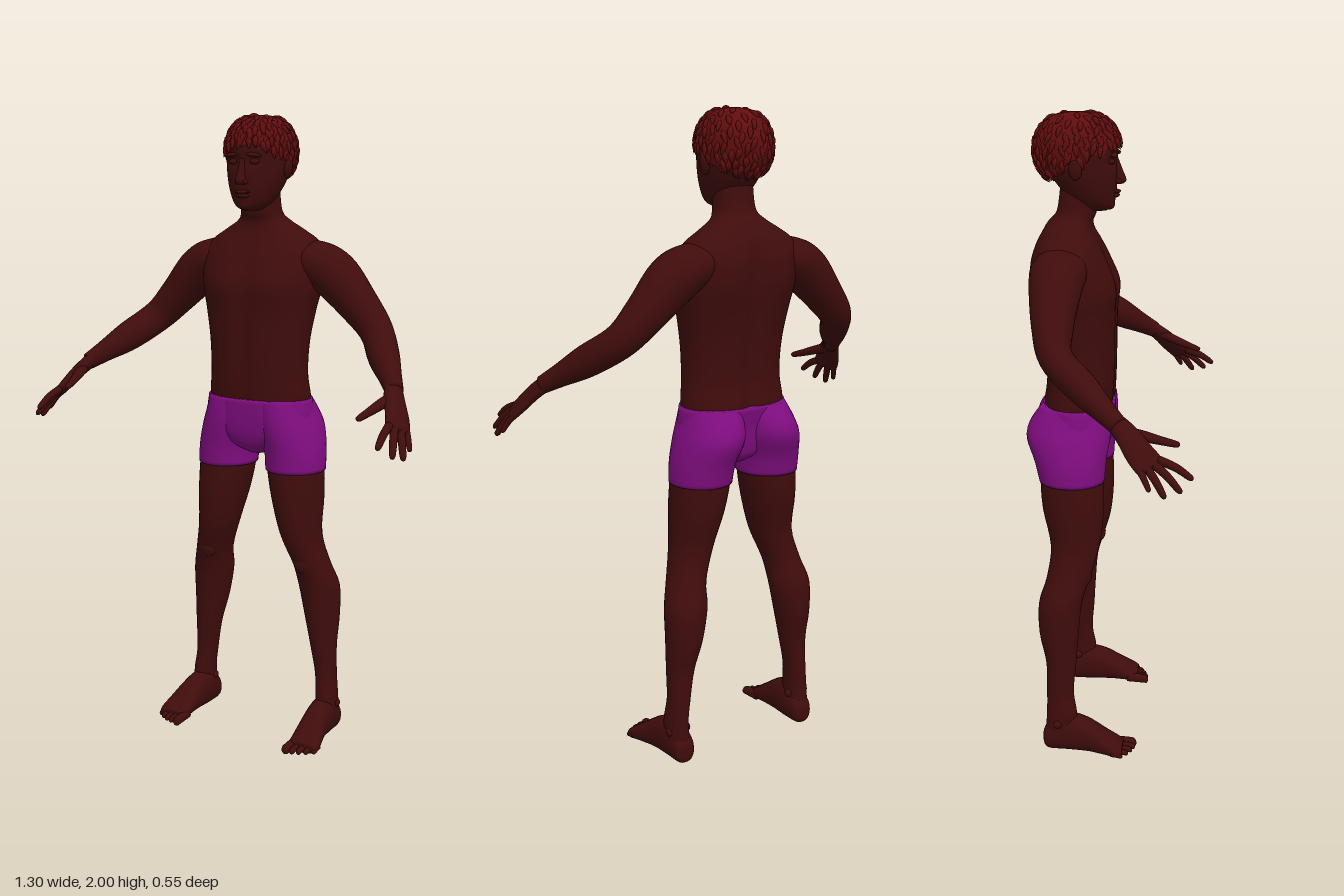
import * as THREE from 'three';

const V = (x, y, z) => new THREE.Vector3(x, y, z);
const X = V(1, 0, 0), Y = V(0, 1, 0), Z = V(0, 0, 1);
const bump = (d, w) => Math.exp(-((d / w) ** 2));

// Seeded random numbers for the hair
let seed = 7;
const rand = () => (seed = (seed * 16807) % 2147483647) / 2147483647;

// Smooth spline through rows of [x, y, z, radiusA, radiusB]
function refine(rows, steps) {
  const out = [];
  for (let i = 0; i < rows.length - 1; i++) {
    const [a, b, c, d] = [-1, 0, 1, 2].map(k => rows[THREE.MathUtils.clamp(i + k, 0, rows.length - 1)]);
    for (let s = 0; s < steps; s++) {
      const t = s / steps;
      out.push(b.map((v, k) => v + 0.5 * t * (c[k] - a[k] + t * (2 * a[k] - 5 * v + 4 * c[k] - d[k]
        + t * (3 * (v - c[k]) + d[k] - a[k])))));
    }
  }
  out.push(rows[rows.length - 1]);
  return out;
}

// Skin through elliptical sections; radiusA lies along `side`. A fixed axis keeps all sections parallel.
function loft(rows, { side = X, axis = null, n = 24, steps = 4, power = 2, sculpt = null } = {}) {
  const path = refine(rows, steps), m = path.length;
  const pos = [], index = [], centre = path.map(r => V(r[0], r[1], r[2]));
  const e = 2 / power, sp = v => Math.sign(v) * Math.abs(v) ** e;
  const add = p => { if (sculpt) sculpt(p); pos.push(p.x, p.y, p.z); };
  path.forEach((r, i) => {
    const T = axis || centre[Math.min(i + 1, m - 1)].clone().sub(centre[Math.max(i - 1, 0)]).normalize();
    const A = side.clone().addScaledVector(T, -side.dot(T)).normalize();
    const B = T.clone().cross(A);
    for (let j = 0; j < n; j++) {
      const t = j / n * Math.PI * 2;
      add(centre[i].clone().addScaledVector(A, r[3] * sp(Math.cos(t))).addScaledVector(B, r[4] * sp(Math.sin(t))));
    }
  });
  add(centre[0].clone());
  add(centre[m - 1].clone());
  for (let j = 0; j < n; j++) {
    const k = (j + 1) % n;
    for (let i = 0; i < m - 1; i++) {
      const a = i * n + j, b = i * n + k;
      index.push(a, b, b + n, a, b + n, a + n);
    }
    index.push(m * n, k, j, m * n + 1, (m - 1) * n + j, (m - 1) * n + k);
  }
  const g = new THREE.BufferGeometry();
  g.setAttribute('position', new THREE.Float32BufferAttribute(pos, 3));
  g.setIndex(index);
  g.computeVertexNormals();
  return g;
}

export function createModel() {
  const skin = new THREE.MeshStandardMaterial({ color: 0x400c0c });
  const hair = new THREE.MeshStandardMaterial({ color: 0x600d0d, side: THREE.DoubleSide });
  const cloth = new THREE.MeshStandardMaterial({ color: 0x800d80 });
  const model = new THREE.Group();
  model.name = 'standingMan';
  const put = (name, geometry, material = skin) => {
    const mesh = new THREE.Mesh(geometry, material);
    mesh.name = name;
    model.add(mesh);
    return mesh;
  };
  const blob = (name, p, r, tilt = 0) => {
    const mesh = put(name, new THREE.SphereGeometry(1, 16, 12));
    mesh.position.set(...p);
    mesh.scale.set(...r);
    mesh.rotation.z = tilt;
  };

  // Torso and neck, with chest muscles, breastbone line and spine groove
  put('torso', loft([
    [0, 1.07, -0.12, 0.165, 0.1], [0, 1.12, -0.12, 0.172, 0.108], [0, 1.2, -0.113, 0.164, 0.106],
    [0, 1.3, -0.115, 0.168, 0.11], [0, 1.4, -0.122, 0.185, 0.117], [0, 1.48, -0.13, 0.203, 0.12],
    [0, 1.56, -0.143, 0.205, 0.112], [0, 1.61, -0.15, 0.185, 0.095], [0, 1.645, -0.15, 0.135, 0.078],
    [0, 1.675, -0.143, 0.085, 0.067], [0, 1.705, -0.125, 0.064, 0.06], [0, 1.78, -0.115, 0.06, 0.058],
  ], {
    axis: Y, n: 56, steps: 6, power: 2.25, sculpt: p => {
      const trunk = THREE.MathUtils.smoothstep(1.66 - p.y, 0, 0.1);
      if (p.z > -0.1) {
        p.z += trunk * (0.014 * bump(Math.abs(p.x) - 0.08, 0.07) * bump(p.y - 1.48, 0.06) - 0.007 * bump(p.x, 0.018));
      } else if (p.z < -0.16) {
        p.z += trunk * (0.016 * bump(p.x, 0.025) - 0.012 * bump(Math.abs(p.x) - 0.1, 0.06) * bump(p.y - 1.5, 0.08));
      }
    },
  }));

  // Head and face
  put('head', loft([
    [0, 1.708, -0.062, 0.025, 0.03], [0, 1.72, -0.066, 0.046, 0.052], [0, 1.745, -0.078, 0.066, 0.07],
    [0, 1.79, -0.095, 0.084, 0.092], [0, 1.84, -0.108, 0.094, 0.106], [0, 1.9, -0.115, 0.096, 0.115],
    [0, 1.95, -0.115, 0.083, 0.1], [0, 1.98, -0.115, 0.045, 0.055],
  ], {
    axis: Y, n: 48, steps: 6, power: 2.2, sculpt: p => {
      if (p.z > -0.05) p.z -= 0.012 * bump(Math.abs(p.x) - 0.038, 0.02) * bump(p.y - 1.856, 0.016);
    },
  }));
  put('nose', loft([
    [0, 1.868, -0.008, 0.008, 0.006], [0, 1.83, 0.001, 0.011, 0.012], [0, 1.798, 0.007, 0.016, 0.018],
    [0, 1.787, 0.003, 0.012, 0.012],
  ].reverse(), { axis: Y, n: 16 }));
  blob('upperLip', [0, 1.764, -0.004], [0.026, 0.006, 0.012]);
  blob('lowerLip', [0, 1.753, -0.007], [0.023, 0.007, 0.012]);
  blob('chin', [0, 1.727, -0.027], [0.026, 0.018, 0.018]);
  for (const s of [1, -1]) {
    blob('nostril', [s * 0.013, 1.795, 0.002], [0.009, 0.008, 0.011]);
    blob('brow', [s * 0.038, 1.875, -0.007], [0.027, 0.007, 0.011], s * -0.12);
    blob('eye', [s * 0.036, 1.855, -0.017], [0.016, 0.009, 0.012]);
    blob('ear', [s * 0.099, 1.835, -0.115], [0.01, 0.03, 0.02], s * -0.15);
  }

  // Hair: a cap with a ragged hairline, covered by short locks running out from the crown
  const limit = phi => 2.0 - 0.6 * Math.cos(phi);
  const scalp = (phi, theta, k = 1) => {
    const r = k * Math.max(Math.sin(theta), 0) ** 0.75;
    return V(0.105 * r * Math.sin(phi), 1.885 + 0.11 * k * Math.cos(theta), -0.122 + 0.13 * r * Math.cos(phi));
  };
  const cap = new THREE.SphereGeometry(1, 64, 24), cp = cap.attributes.position, uv = cap.attributes.uv;
  for (let i = 0; i < cp.count; i++) {
    const phi = uv.getX(i) * Math.PI * 2, row = 1 - uv.getY(i);
    const rag = 0.06 * Math.sin(phi * 13) + 0.04 * Math.sin(phi * 29);
    const ridge = 1 + 0.015 * Math.sin(phi * 18 + row * 9) * Math.sin(row * Math.PI);
    cp.setXYZ(i, ...scalp(phi, row * (limit(phi) + rag), ridge).toArray());
  }
  // The sphere's u runs the other way round, so turn the faces over if needed
  const ci = cap.index.array, c = k => V().fromBufferAttribute(cp, ci[k]);
  const mid = Math.floor(ci.length / 6) * 3;
  const facing = c(mid + 1).sub(c(mid)).cross(c(mid + 2).sub(c(mid))).dot(c(mid).sub(V(0, 1.885, -0.122)));
  if (facing < 0) for (let k = 0; k < ci.length; k += 3) [ci[k], ci[k + 1]] = [ci[k + 1], ci[k]];
  cap.computeVertexNormals();
  put('hairCap', cap, hair);
  for (let i = 0; i < 150; i++) {
    const phi = i * 2.39996, start = limit(phi) * Math.sqrt((i + 1) / 150) * 0.86;
    const bend = (rand() - 0.5) * 0.5, lift = 1.02 + rand() * 0.035;
    const rows = [[0, 1, 0.003], [0.12, 1.02, 0.009], [0.25, 1.02, 0.007], [0.36, lift, 0.001]].map(([d, k, r]) =>
      [...scalp(phi + bend * d * 2, Math.min(start + d, limit(phi) + 0.12), k).toArray(), r, r * 0.7]);
    const across = V(Math.cos(phi), 0.01, -Math.sin(phi));
    put('hairLock', loft(rows, { side: across, n: 6, steps: 2 }), hair);
  }

  // Shorts: front panel between the legs
  put('shortsFront', loft([
    [0, 0.935, -0.12, 0.03, 0.04], [0, 0.96, -0.118, 0.08, 0.08], [0, 1.0, -0.115, 0.15, 0.096],
    [0, 1.05, -0.115, 0.183, 0.103], [0, 1.12, -0.12, 0.177, 0.112],
  ], { axis: Y, n: 48, power: 2.25 }), cloth);

  for (const s of [1, -1]) {
    const flip = rows => rows.map(([x, ...rest]) => [s * x, ...rest]);
    const tag = s > 0 ? 'left' : 'right';

    // Shorts leg and buttock
    put(tag + 'ShortsLeg', loft(flip([
      [0.126, 0.888, -0.13, 0.096, 0.102], [0.122, 0.95, -0.135, 0.097, 0.112], [0.105, 1.02, -0.143, 0.099, 0.13],
      [0.094, 1.07, -0.137, 0.092, 0.126], [0.085, 1.118, -0.122, 0.085, 0.108],
    ]), { axis: Y, n: 36 }), cloth);

    // Leg from ankle to thigh
    put(tag + 'Leg', loft(flip([
      [0.235, 0.04, -0.165, 0.038, 0.046], [0.238, 0.12, -0.155, 0.034, 0.049], [0.231, 0.2, -0.16, 0.034, 0.043],
      [0.222, 0.3, -0.157, 0.043, 0.048], [0.212, 0.4, -0.164, 0.057, 0.062], [0.202, 0.5, -0.16, 0.067, 0.068],
      [0.185, 0.58, -0.137, 0.06, 0.068], [0.155, 0.68, -0.118, 0.066, 0.077], [0.138, 0.8, -0.125, 0.083, 0.096],
      [0.126, 0.9, -0.13, 0.091, 0.098], [0.12, 0.96, -0.13, 0.085, 0.09],
    ]), { axis: Y, n: 32 }));
    blob(tag + 'Kneecap', [s * 0.18, 0.59, -0.083], [0.03, 0.035, 0.02]);
    for (const d of [-0.032, 0.032]) blob(tag + 'Anklebone', [s * 0.237 + d, 0.1, -0.165], [0.011, 0.014, 0.014]);

    // Foot with a flat sole, and five toes
    const sole = p => { p.y = Math.max(p.y, 0); };
    put(tag + 'Foot', loft(flip([
      [0.235, 0.04, -0.215, 0.014, 0.02], [0.235, 0.043, -0.2, 0.034, 0.043], [0.235, 0.06, -0.14, 0.041, 0.062],
      [0.239, 0.055, -0.075, 0.042, 0.056], [0.246, 0.036, -0.015, 0.049, 0.037], [0.25, 0.022, 0.025, 0.052, 0.024],
      [0.25, 0.018, 0.043, 0.045, 0.016],
    ]), { axis: Z, n: 28, power: 2.3, sculpt: sole }));
    for (let i = 0; i < 5; i++) {
      const x = 0.211 + i * 0.0205 - (i ? 0 : 0.002), r = i ? 0.0105 - i * 0.0005 : 0.015;
      const tip = 0.083 - 0.003 * i * i * 0.75;
      put(tag + 'Toe', loft(flip([
        [x, 0.018, 0.01, r, r], [x, 0.016, tip - 0.018, r, r], [x, 0.013, tip - 0.005, r * 0.85, r * 0.85],
        [x, 0.012, tip, r * 0.3, r * 0.3],
      ]), { axis: Z, n: 12, sculpt: sole }));
    }

    // Arm from shoulder to wrist
    put(tag + 'Arm', loft(flip([
      [0.09, 1.568, -0.155, 0.06, 0.045], [0.17, 1.552, -0.155, 0.083, 0.066], [0.243, 1.512, -0.155, 0.077, 0.076],
      [0.33, 1.425, -0.15, 0.061, 0.063], [0.4, 1.352, -0.13, 0.049, 0.053], [0.465, 1.287, -0.048, 0.046, 0.049],
      [0.517, 1.24, 0.018, 0.034, 0.035], [0.552, 1.208, 0.064, 0.027, 0.027],
    ]), { side: Z, n: 28, steps: 6 }));

    // Palm, fingers and thumb
    const across = V(s * 0.4, -0.15, -0.9).normalize();
    put(tag + 'Palm', loft(flip([
      [0.538, 1.222, 0.046, 0.026, 0.024], [0.565, 1.185, 0.09, 0.035, 0.021], [0.59, 1.145, 0.125, 0.041, 0.018],
      [0.604, 1.118, 0.152, 0.042, 0.014], [0.608, 1.11, 0.16, 0.034, 0.008],
    ]), { side: across, n: 20 }));
    [[0.597, 1.08, 0.272], [0.63, 1.052, 0.243], [0.645, 1.04, 0.2], [0.646, 1.058, 0.158]].forEach((t, i) => {
      const base = V(s * 0.6, 1.124, 0.146).addScaledVector(across, (i - 1.5) * 0.021);
      const tip = V(s * t[0], t[1], t[2]), r = i === 3 ? 0.0095 : 0.0115;
      const at = (k, f) => [...base.clone().lerp(tip, k).toArray(), r * f, r * f];
      const knuckle = at(0.5, 1);
      knuckle[1] += 0.006;
      put(tag + 'Finger', loft([at(0, 1.1), knuckle, at(0.9, 0.8), at(1, 0.3)], { side: across, n: 12 }));
    });
    put(tag + 'Thumb', loft(flip([
      [0.556, 1.195, 0.08, 0.018, 0.016], [0.54, 1.178, 0.132, 0.018, 0.015], [0.526, 1.162, 0.18, 0.013, 0.012],
      [0.516, 1.15, 0.22, 0.01, 0.009], [0.514, 1.147, 0.228, 0.004, 0.004],
    ]), { side: X, n: 12 }));
  }
  return model;
}
